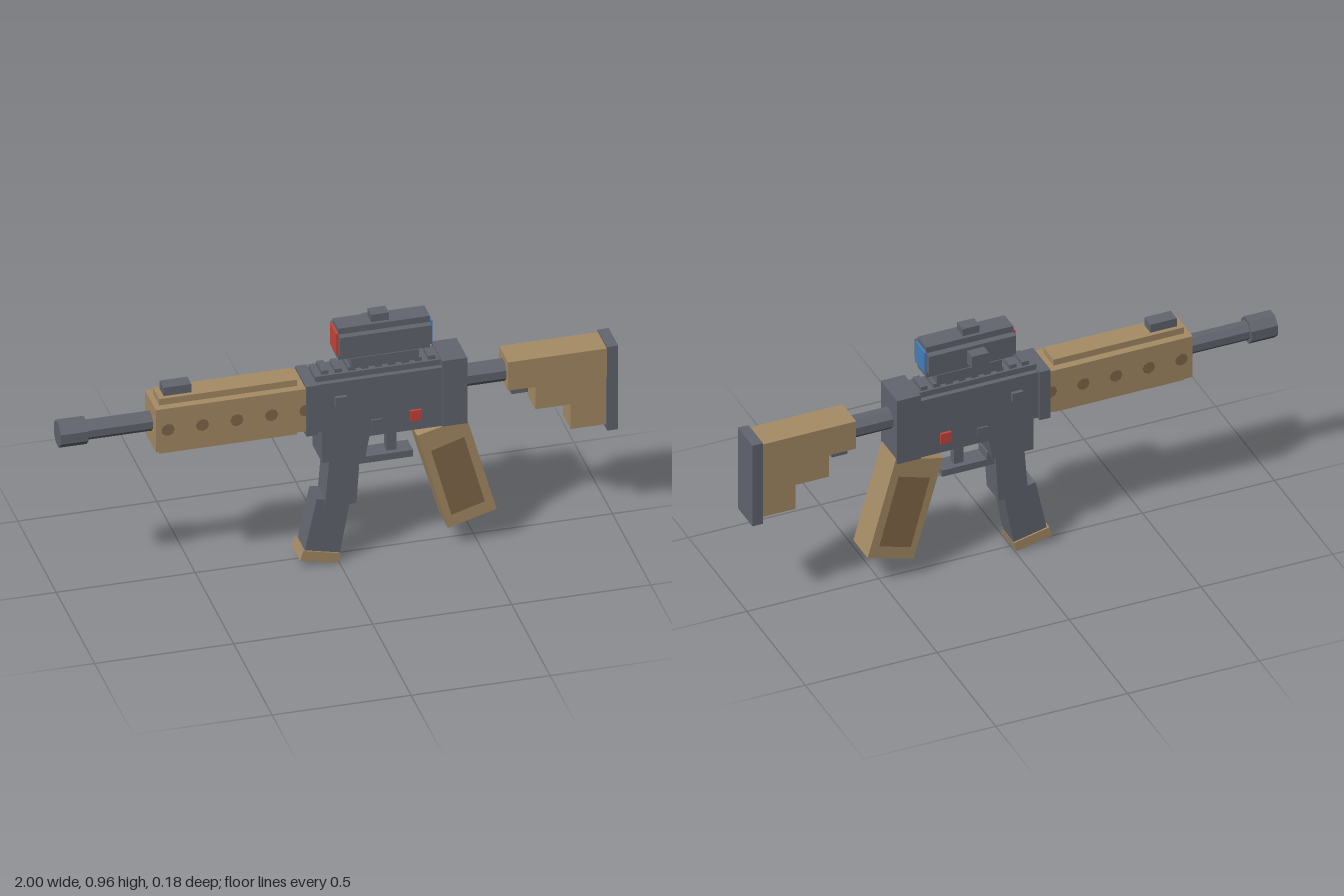
import * as THREE from 'three';

const mat = (name, color) => {
  const m = new THREE.MeshStandardMaterial({ color });
  m.name = name;
  return m;
};

export function createModel() {
  const grey = mat('gunmetal grey', 0x636670);
  const tan = mat('tan', 0xa68c66);
  const brown = mat('dark tan', 0x84694a);
  const red = mat('red', 0xc8453a);
  const blue = mat('blue', 0x4480bd);

  const model = new THREE.Group();
  model.name = 'toyBlaster';
  const body = new THREE.Group();
  body.name = 'body';
  body.position.z = 0.014;
  model.add(body);

  const add = (name, geometry, material) => {
    const mesh = new THREE.Mesh(geometry, material);
    mesh.name = name;
    body.add(mesh);
    return mesh;
  };
  // Box from its limits in x, y and z
  const box = (name, m, x0, x1, y0, y1, z1, z0 = -z1) => {
    const mesh = add(name, new THREE.BoxGeometry(x1 - x0, y1 - y0, z1 - z0), m);
    mesh.position.set((x0 + x1) / 2, (y0 + y1) / 2, (z0 + z1) / 2);
    return mesh;
  };
  // Side outline extruded evenly about the centre plane
  const prism = (name, m, points, half, zMid = 0) => {
    const shape = new THREE.Shape(points.map(p => new THREE.Vector2(...p)));
    const g = new THREE.ExtrudeGeometry(shape, { depth: half * 2, bevelEnabled: false });
    return add(name, g.translate(0, 0, zMid - half), m);
  };
  // Octagonal tube along x, flats up and sideways
  const tube = (name, m, x0, x1, y, half) => {
    const g = new THREE.CylinderGeometry(half / Math.cos(Math.PI / 8), half / Math.cos(Math.PI / 8), x1 - x0, 8);
    g.rotateY(Math.PI / 8).rotateZ(Math.PI / 2);
    const mesh = add(name, g.toNonIndexed(), m);
    mesh.geometry.computeVertexNormals();
    mesh.position.set((x0 + x1) / 2, y, 0);
    return mesh;
  };

  // Barrel
  tube('muzzle', grey, -1, -0.9, 0.648, 0.046);
  tube('barrel', grey, -0.9, -0.65, 0.648, 0.033);

  // Handguard
  box('handguard', tan, -0.665, -0.12, 0.56, 0.73, 0.071);
  box('handguardTop', tan, -0.645, -0.15, 0.73, 0.755, 0.042);
  box('handguardBottom', tan, -0.645, -0.15, 0.535, 0.56, 0.042);
  box('frontSight', grey, -0.625, -0.525, 0.755, 0.788, 0.026);
  for (const side of [-1, 1]) {
    for (let i = 0; i < 5; i++) {
      const dot = add('handguardDot', new THREE.CylinderGeometry(0.024, 0.024, 0.004, 8), brown);
      dot.rotation.x = Math.PI / 2;
      dot.position.set(-0.622 + i * 0.124, 0.645, side * 0.071);
    }
  }
  box('collar', grey, -0.125, -0.083, 0.54, 0.74, 0.0745);

  // Receiver with magazine well
  prism('receiver', grey, [[-0.085, 0.735], [-0.085, 0.545], [-0.065, 0.545], [-0.065, 0.418],
    [0.09, 0.418], [0.105, 0.5], [0.37, 0.5], [0.37, 0.735]], 0.064);
  box('receiverTop', grey, -0.085, 0.37, 0.735, 0.757, 0.045);
  box('rearBlock', grey, 0.365, 0.455, 0.5, 0.764, 0.07);
  for (let i = 0; i < 9; i++) {
    const x = -0.06 + i * 0.048;
    box('railTooth', grey, x, x + 0.026, 0.757, 0.772, 0.036);
  }
  box('sideButton', grey, -0.02, 0.02, 0.643, 0.68, 0.0775);
  box('lowerButton', grey, 0.11, 0.15, 0.53, 0.565, 0.07);
  box('redButton', red, 0.25, 0.29, 0.54, 0.582, 0.0735);

  // Trigger and its guard
  box('trigger', grey, 0.18, 0.215, 0.39, 0.505, 0.016);
  box('triggerGuard', grey, 0.09, 0.27, 0.376, 0.402, 0.036);
  box('guardFront', grey, 0.07, 0.1, 0.376, 0.43, 0.036);

  // Front magazine
  prism('magazineUpper', grey, [[-0.035, 0.43], [-0.052, 0.22], [0.062, 0.23], [0.075, 0.43]], 0.05);
  prism('magazineLower', grey, [[-0.08, 0.265], [-0.125, 0.055], [0.002, 0.03], [0.04, 0.24]], 0.047);
  prism('magazineFoot', tan, [[-0.13, 0.067], [-0.142, 0.03], [-0.005, 0], [0.004, 0.037]], 0.053);

  // Rear grip with side panels
  prism('rearGrip', tan, [[0.277, 0.472], [0.388, 0.083], [0.563, 0.132], [0.455, 0.518]], 0.061);
  for (const side of [-1, 1]) {
    prism('gripPanel', brown, [[0.327, 0.405], [0.4, 0.135], [0.52, 0.17], [0.446, 0.442]],
      0.002, side * 0.061);
  }

  // Stock
  tube('stockTube', grey, 0.45, 0.61, 0.653, 0.037);
  prism('stock', tan, [[0.605, 0.6], [0.96, 0.6], [0.96, 0.714], [0.605, 0.714]], 0.058);
  prism('stockLower', tan, [[0.705, 0.6], [0.705, 0.505], [0.832, 0.505], [0.832, 0.405],
    [0.96, 0.405], [0.96, 0.6]], 0.05);
  box('stockLatch', grey, 0.625, 0.685, 0.567, 0.6, 0.03);
  box('buttPlate', grey, 0.96, 1, 0.385, 0.722, 0.062);

  // Scope
  box('scopeMount', grey, 0.045, 0.29, 0.768, 0.808, 0.041);
  box('scopeCore', grey, 0, 0.33, 0.808, 0.934, 0.037);
  box('scopeSides', grey, 0, 0.33, 0.835, 0.91, 0.062);
  box('scopeTopKnob', grey, 0.122, 0.186, 0.934, 0.963, 0.024);
  box('scopeSideKnob', grey, 0.122, 0.186, 0.845, 0.897, -0.06, -0.104);
  box('rearLens', blue, 0.33, 0.338, 0.83, 0.915, 0.039);
  box('frontLens', red, -0.008, 0, 0.83, 0.915, 0.039);

  return model;
}
